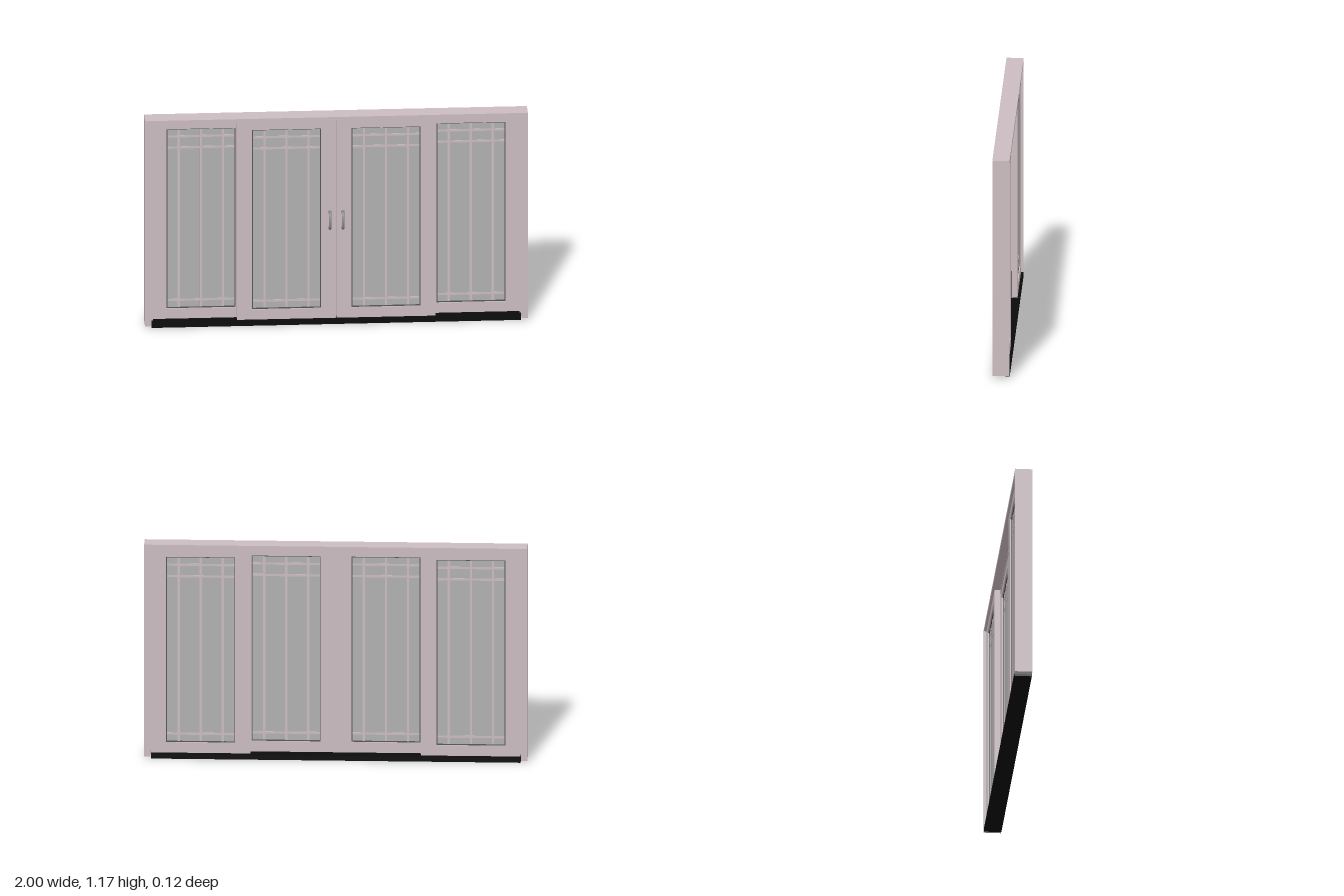
import * as THREE from 'three';

const paint = new THREE.MeshStandardMaterial({ color: 0xcabcc0 });
const glassGrey = new THREE.MeshStandardMaterial({ color: 0xb0b0b0 });
const black = new THREE.MeshStandardMaterial({ color: 0x0a0a0a });
const metal = new THREE.MeshStandardMaterial({ color: 0x8c8c88 });
const gasket = new THREE.MeshStandardMaterial({ color: 0x555555 });

// Box given by its minimum and maximum corners
function box(name, material, [x0, y0, z0], [x1, y1, z1]) {
  const mesh = new THREE.Mesh(new THREE.BoxGeometry(x1 - x0, y1 - y0, z1 - z0), material);
  mesh.position.set((x0 + x1) / 2, (y0 + y1) / 2, (z0 + z1) / 2);
  mesh.name = name;
  return mesh;
}

// Rectangular ring centred on x = 0, extruded from z0 to z1
function ring(name, material, w, y0, y1, iw, iy0, iy1, z0, z1) {
  const rect = (path, hw, a, b) => path.moveTo(-hw, a).lineTo(hw, a).lineTo(hw, b).lineTo(-hw, b).closePath();
  const shape = rect(new THREE.Shape(), w / 2, y0, y1);
  shape.holes.push(rect(new THREE.Path(), iw / 2, iy0, iy1));
  const geometry = new THREE.ExtrudeGeometry(shape, { depth: z1 - z0, bevelEnabled: false });
  const mesh = new THREE.Mesh(geometry.translate(0, 0, z0), material);
  mesh.name = name;
  return mesh;
}

// Glazed door leaf with a prairie grille, centred on x = 0 and z = 0
function doorPanel(name) {
  const panel = new THREE.Group();
  panel.name = name;
  const halfGlass = 0.18, bottom = 0.087, top = 1.106, t = 0.015;
  panel.add(ring('panelFrame', paint, 0.518, 0.03, 1.15, halfGlass * 2, bottom, top, -t, t));
  panel.add(ring('glazingBead', gasket, halfGlass * 2, bottom, top,
    halfGlass * 2 - 0.01, bottom + 0.005, top - 0.005, -0.009, 0.009));
  panel.add(box('glass', glassGrey, [-halfGlass, bottom, -0.004], [halfGlass, top, 0.004]));
  for (const x of [-0.115, 0, 0.115]) {
    panel.add(box('verticalGrilleBar', paint, [x - 0.006, bottom, -0.006], [x + 0.006, top, 0.006]));
  }
  for (const y of [0.132, 0.997, 1.06]) {
    panel.add(box('horizontalGrilleBar', paint, [-halfGlass, y - 0.006, -0.006], [halfGlass, y + 0.006, 0.006]));
  }
  return panel;
}

// D-shaped pull handle with round mounting feet
function handle(name) {
  const group = new THREE.Group();
  group.name = name;
  const path = new THREE.CatmullRomCurve3([
    [0.632, 0.016], [0.631, 0.034], [0.622, 0.047], [0.604, 0.054], [0.587, 0.056],
    [0.57, 0.054], [0.552, 0.047], [0.543, 0.034], [0.542, 0.016],
  ].map(([y, z]) => new THREE.Vector3(0, y, z)));
  const grip = new THREE.Mesh(new THREE.TubeGeometry(path, 40, 0.0065, 12), metal);
  grip.name = 'grip';
  group.add(grip);
  for (const y of [0.542, 0.632]) {
    const foot = new THREE.Mesh(new THREE.CylinderGeometry(0.009, 0.009, 0.006, 16), metal);
    foot.rotation.x = Math.PI / 2;
    foot.position.set(0, y, 0.02);
    foot.name = 'handleFoot';
    group.add(foot);
  }
  return group;
}

export function createModel() {
  const model = new THREE.Group();
  model.name = 'slidingDoor';
  const zBack = -0.06, zFront = 0.03;

  // Outer frame: head and jambs in one arch, open at the sill
  const arch = new THREE.Shape([
    [-1, 0.01], [-0.967, 0.01], [-0.967, 1.154], [0.967, 1.154],
    [0.967, 0.01], [1, 0.01], [1, 1.175], [-1, 1.175],
  ].map(([x, y]) => new THREE.Vector2(x, y)));
  const frame = new THREE.Mesh(
    new THREE.ExtrudeGeometry(arch, { depth: zFront - zBack, bevelEnabled: false }).translate(0, 0, zBack), paint);
  frame.name = 'outerFrame';
  model.add(frame);

  // Stepped sill with the two running tracks
  model.add(box('sill', black, [-0.965, 0, zBack], [0.965, 0.026, zFront]));
  for (const z of [-0.033, 0.003]) {
    model.add(box('sillTrack', black, [-0.965, 0.026, z - 0.012], [0.965, 0.031, z + 0.012]));
  }
  model.add(box('headStop', paint, [-0.967, 1.146, -0.0165], [0.967, 1.156, -0.0135]));

  for (const side of [-1, 1]) {
    const label = side > 0 ? 'left' : 'right';
    const sliding = doorPanel(label + 'SlidingPanel');
    sliding.position.set(side * 0.26, 0, 0.003);
    const fixed = doorPanel(label + 'FixedPanel');
    fixed.position.set(side * 0.705, 0, -0.033);
    const pull = handle(label + 'Handle');
    pull.position.x = side * 0.034;
    model.add(sliding, fixed, pull);

    // Jamb stop beside the front track
    const x = side * 0.963;
    model.add(box(label + 'JambStop', paint, [x - 0.005, 0.03, -0.01], [x + 0.005, 1.155, 0.002]));
  }
  return model;
}
